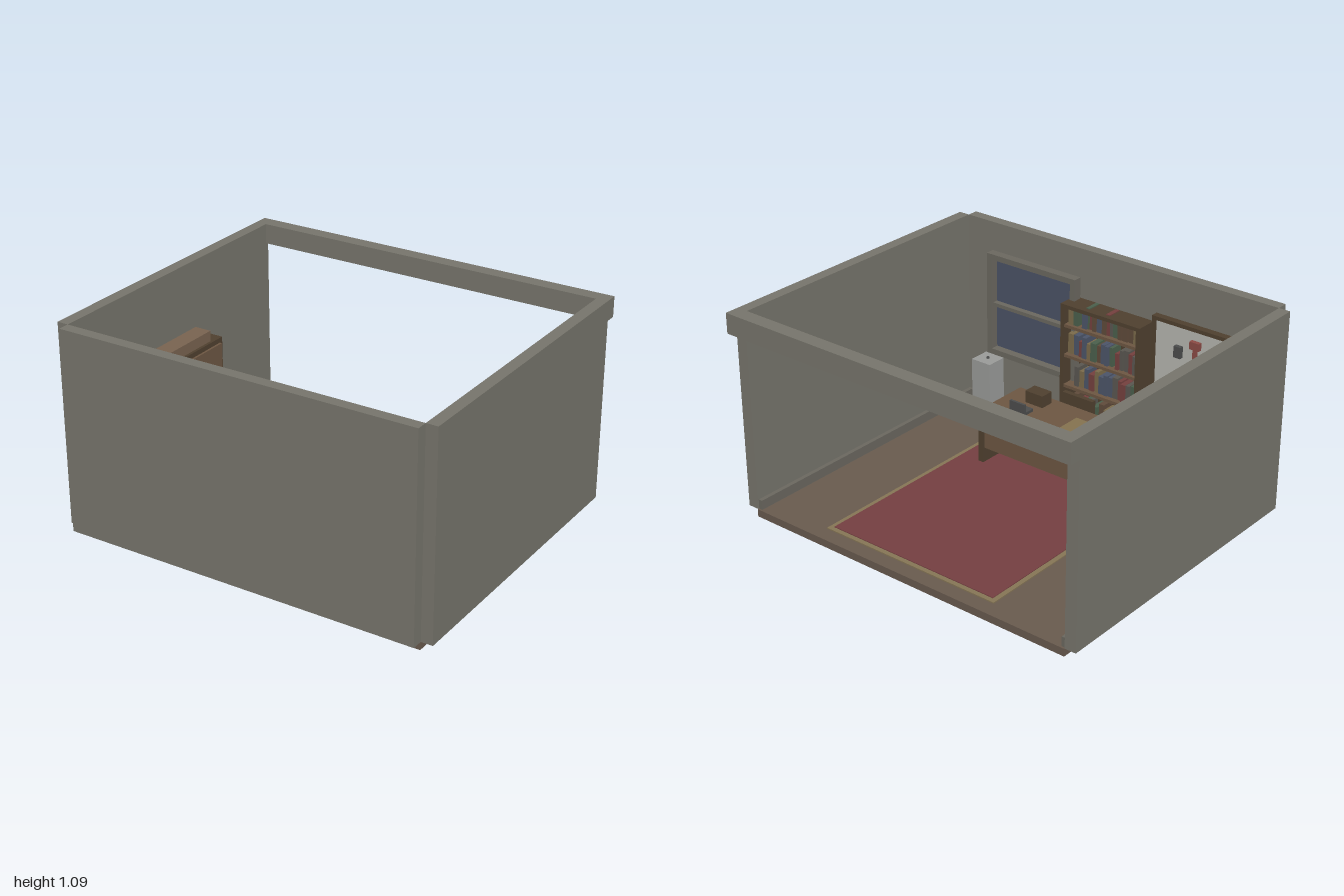
import * as THREE from 'three';

const C = {
  wall: 0x76746b, trim: 0x6a675f, floor: 0x685a4e, gold: 0x857555, red: 0x743f41,
  wood: 0x6c5642, dark: 0x4f402f, light: 0x786350, pane: 0x4a5265, white: 0xb4b4ae,
  steel: 0x999a98, black: 0x4b4c4c, tan: 0x84724f, brick: 0x8a4a44,
};
const mats = {};
const mat = (c) => (mats[c] ??= new THREE.MeshStandardMaterial({ color: C[c] ?? c }));

// Box given by its limits on each axis
function box(parent, name, color, [x0, x1], [y0, y1], [z0, z1]) {
  const mesh = new THREE.Mesh(new THREE.BoxGeometry(x1 - x0, y1 - y0, z1 - z0), mat(color));
  mesh.position.set((x0 + x1) / 2, (y0 + y1) / 2, (z0 + z1) / 2);
  mesh.name = name;
  parent.add(mesh);
  return mesh;
}

function cylinder(parent, name, color, r, h, x, y, z) {
  const mesh = new THREE.Mesh(new THREE.CylinderGeometry(r, r, h, 16), mat(color));
  mesh.position.set(x, y + h / 2, z);
  mesh.name = name;
  parent.add(mesh);
}

function group(parent, name) {
  const g = new THREE.Group();
  g.name = name;
  parent.add(g);
  return g;
}

function buildShell(root) {
  const g = group(root, 'roomShell');
  box(g, 'floor', 'floor', [-0.94, 0.94], [0, 0.04], [-0.8, 0.8]);
  box(g, 'frontWall', 'wall', [-0.94, 0.94], [0.04, 1.085], [0.797, 0.855]);
  box(g, 'headerBeam', 'wall', [-1, 1], [0.98, 1.085], [-0.855, -0.78]);
  for (const s of [-1, 1]) {
    const span = (a, b) => (s > 0 ? [a, b] : [-b, -a]);
    box(g, 'sideWall', 'wall', span(0.94, 1), [0.04, 1.085], [-0.797, 0.797]);
    box(g, 'sideBaseboard', 'trim', span(0.918, 0.942), [0.04, 0.09], [-0.79, 0.79]);
  }
  box(g, 'frontBaseboard', 'trim', [-0.92, 0.92], [0.04, 0.09], [0.775, 0.8]);
}

function buildRug(root) {
  const g = group(root, 'rug');
  box(g, 'rugBorder', 'gold', [-0.48, 0.55], [0.038, 0.046], [-0.72, 0.455]);
  box(g, 'rugField', 'red', [-0.455, 0.525], [0.04, 0.05], [-0.695, 0.43]);
}

function buildDesk(root) {
  const g = group(root, 'desk');
  box(g, 'deskTop', 'wood', [-0.44, 0.435], [0.288, 0.32], [0.22, 0.6]);
  for (const x of [-0.42, 0.385]) box(g, 'deskEndPanel', 'dark', [x, x + 0.03], [0.04, 0.288], [0.24, 0.58]);
  box(g, 'modestyPanel', 'wood', [-0.39, 0.385], [0.13, 0.288], [0.25, 0.27]);

  // Things on the desk
  box(g, 'paper', 'white', [-0.295, -0.16], [0.32, 0.328], [0.35, 0.44]);
  box(g, 'folder', 'tan', [-0.11, -0.005], [0.32, 0.328], [0.35, 0.5]);
  box(g, 'deviceBase', 'black', [0.215, 0.3], [0.32, 0.335], [0.36, 0.43]);
  box(g, 'deviceScreen', 'black', [0.21, 0.305], [0.32, 0.385], [0.353, 0.366]);
  box(g, 'deskBox', 'dark', [0.2, 0.31], [0.32, 0.385], [0.485, 0.56]);
  cylinder(g, 'cup', 'white', 0.012, 0.04, -0.335, 0.32, 0.52);
}

function buildChair(root) {
  const g = group(root, 'chair');
  box(g, 'chairSeat', 'dark', [0.01, 0.2], [0.17, 0.2], [0.47, 0.67]);
  box(g, 'chairBack', 'dark', [0.01, 0.2], [0.2, 0.35], [0.65, 0.675]);
  for (const x of [0.015, 0.175]) for (const z of [0.475, 0.645])
    box(g, 'chairLeg', 'dark', [x, x + 0.02], [0.04, 0.17], [z, z + 0.02]);
}

function buildBookcase(root) {
  const g = group(root, 'bookcase');
  const x0 = -0.245, x1 = 0.24, z = [0.677, 0.795];
  for (const x of [x0, x1 - 0.022]) box(g, 'bookcaseSide', 'dark', [x, x + 0.022], [0.04, 0.82], z);
  box(g, 'bookcaseBack', 'dark', [x0, x1], [0.04, 0.82], [0.783, 0.795]);
  box(g, 'bookcaseTop', 'dark', [x0, x1], [0.8, 0.82], z);

  // Shelves, each with a row of books of varied size
  let seed = 7;
  const rnd = () => (seed = (seed * 16807) % 2147483647) / 2147483647;
  const covers = [0x74403e, 0x4a5f4b, 0x4b5468, 0x7a6a4a, 0x595650, 0x5f4a3a];
  [0.04, 0.19, 0.36, 0.53, 0.695].forEach((y) => {
    box(g, 'shelf', 'wood', [x0 + 0.022, x1 - 0.022], [y, y + 0.016], [0.68, 0.79]);
    let x = x0 + 0.03;
    while (x < x1 - 0.06) {
      const w = 0.018 + rnd() * 0.014, h = 0.085 + rnd() * 0.03, d = rnd() * 0.015;
      const tall = y > 0.6 ? Math.min(h, 0.087) : h;
      box(g, 'book', covers[Math.floor(rnd() * 6)], [x, x + w], [y + 0.016, y + 0.016 + tall], [0.695 + d, 0.78]);
      x += w + (rnd() < 0.12 ? 0.025 : 0.004);
    }
  });
  // Two tall books reaching through the top
  box(g, 'tallBook', covers[0], [-0.045, -0.022], [0.711, 0.825], [0.705, 0.785]);
  box(g, 'tallBook', covers[1], [0.08, 0.1], [0.711, 0.825], [0.705, 0.785]);
}

function buildWindow(root) {
  const g = group(root, 'window');
  const z = [0.737, 0.785];
  box(g, 'windowPane', 'pane', [0.225, 0.745], [0.39, 0.92], [0.782, 0.798]);
  for (const x of [0.2, 0.74]) box(g, 'windowJamb', 'trim', [x, x + 0.03], [0.37, 0.935], z);
  for (const y of [0.37, 0.905]) box(g, 'windowRail', 'trim', [0.2, 0.77], [y, y + 0.03], z);
  box(g, 'windowCrossbar', 'trim', [0.23, 0.74], [0.64, 0.66], [0.75, 0.785]);
}

function buildPinboard(root) {
  const g = group(root, 'pinboard');
  box(g, 'boardPanel', 'white', [-0.82, -0.28], [0.47, 0.85], [0.768, 0.795]);
  for (const x of [-0.84, -0.28]) box(g, 'boardFrameSide', 'dark', [x, x + 0.02], [0.45, 0.87], [0.757, 0.795]);
  for (const y of [0.45, 0.85]) box(g, 'boardFrameRail', 'dark', [-0.84, -0.26], [y, y + 0.02], [0.757, 0.795]);
  // Small blocks of a diagram
  const z = [0.745, 0.77];
  box(g, 'boardNote', 'brick', [-0.545, -0.49], [0.76, 0.8], z);
  box(g, 'boardNoteStem', 'brick', [-0.525, -0.51], [0.71, 0.76], z);
  box(g, 'boardNote', 'black', [-0.44, -0.4], [0.69, 0.75], z);
  box(g, 'boardNote', 'black', [-0.62, -0.58], [0.69, 0.75], z);
  box(g, 'boardNote', 'brick', [-0.73, -0.68], [0.6, 0.66], z);
}

function buildPedestal(root) {
  const g = group(root, 'cabinetPedestal');
  box(g, 'pedestalBody', 'steel', [0.645, 0.765], [0.04, 0.38], [0.605, 0.72]);
  cylinder(g, 'pedestalKnob', 'black', 0.008, 0.008, 0.705, 0.38, 0.665);
}

function buildSideboard(root) {
  const g = group(root, 'sideboard');
  box(g, 'sideboardBody', 'dark', [-0.91, -0.76], [0.04, 0.73], [-0.13, 0.52]);
  for (let i = 0; i < 4; i++) {
    const y = 0.06 + i * 0.165;
    box(g, 'drawerFront', 'wood', [-0.765, -0.748], [y, y + 0.15], [-0.11, 0.505]);
  }
  box(g, 'upperBox', 'light', [-0.865, -0.775], [0.73, 0.785], [-0.055, 0.445]);
}

export function createModel() {
  const root = new THREE.Group();
  root.name = 'officeRoom';
  [buildShell, buildRug, buildDesk, buildChair, buildBookcase, buildWindow,
    buildPinboard, buildPedestal, buildSideboard].forEach((build) => build(root));
  return root;
}
